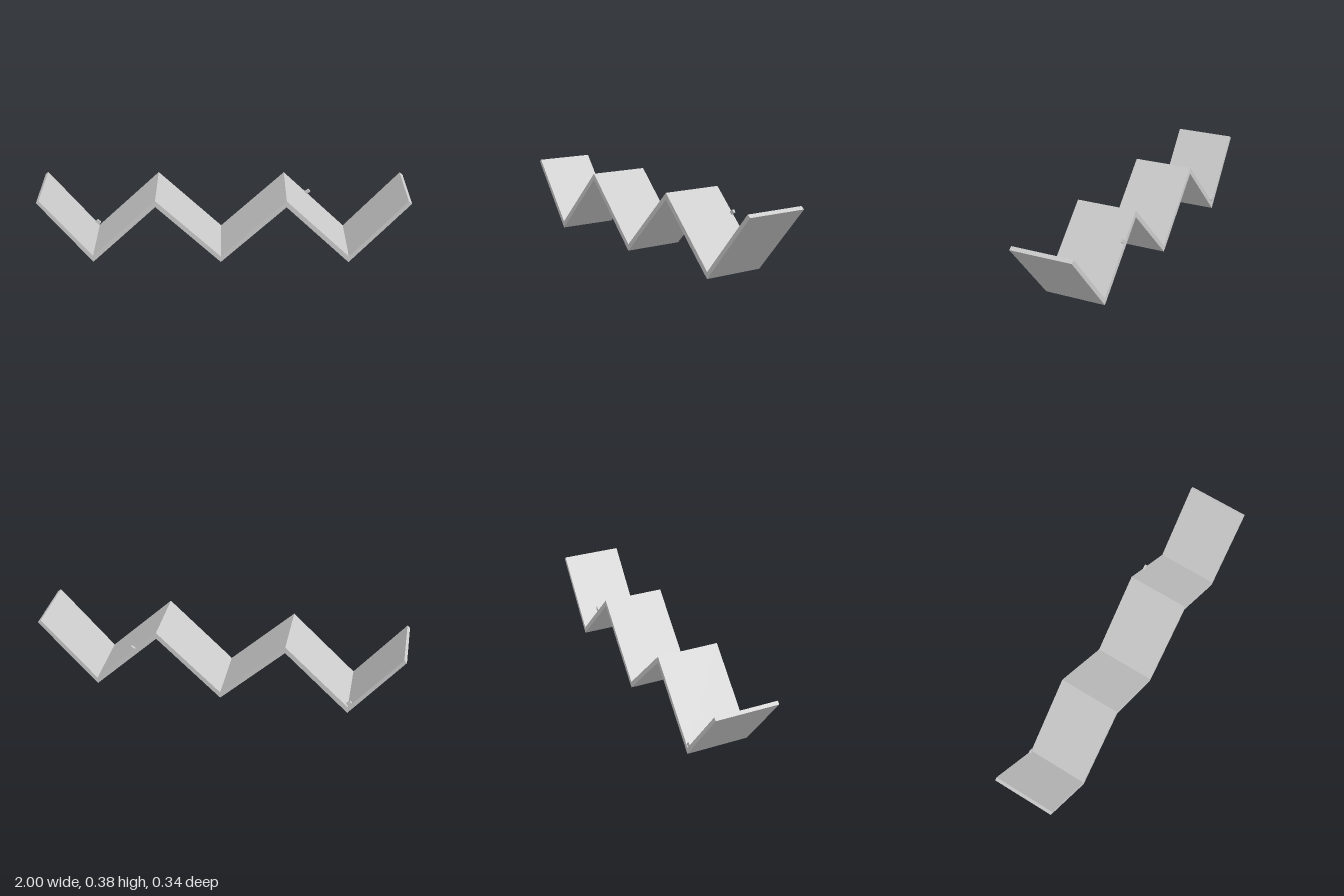
import * as THREE from 'three';

const HALF_DEPTH = 0.17;

export function createModel() {
  const group = new THREE.Group();
  group.name = 'zigzagShelf';
  const grey = new THREE.MeshStandardMaterial({ color: 0xcccccc });
  grey.name = 'light grey';

  // Upper and lower edges of each fold, left end to right end: [upper, lower]
  const folds = [
    [[-0.985, 0.38], [-1, 0.367]],
    [[-0.717, 0.038], [-0.717, 0]],
    [[-0.366, 0.38], [-0.366, 0.344]],
    [[-0.017, 0.036], [-0.017, 0]],
    [[0.334, 0.38], [0.334, 0.344]],
    [[0.684, 0.037], [0.684, 0]],
    [[0.982, 0.38], [1, 0.366]],
  ];

  // One board between each pair of neighbouring folds, mitred at the joints
  for (let i = 0; i < folds.length - 1; i++) {
    const [upA, lowA] = folds[i];
    const [upB, lowB] = folds[i + 1];
    const shape = new THREE.Shape([lowA, lowB, upB, upA].map(([x, y]) => new THREE.Vector2(x, y)));
    const geometry = new THREE.ExtrudeGeometry(shape, { depth: 2 * HALF_DEPTH, bevelEnabled: false });
    geometry.translate(0, 0, -HALF_DEPTH);
    const board = new THREE.Mesh(geometry, grey);
    board.name = `board${i + 1}`;
    group.add(board);
  }

  // Small pegs on the rear edge of two boards
  const addPeg = (name, x, y, angle) => {
    const peg = new THREE.Mesh(new THREE.BoxGeometry(0.026, 0.018, 0.012), grey);
    peg.name = name;
    peg.position.set(x, y, -HALF_DEPTH + 0.006);
    peg.rotation.z = angle;
    group.add(peg);
  };
  addPeg('rightPeg', 0.471, 0.262, 0.6);
  addPeg('leftPeg', -0.723, 0.062, -0.8);

  return group;
}
